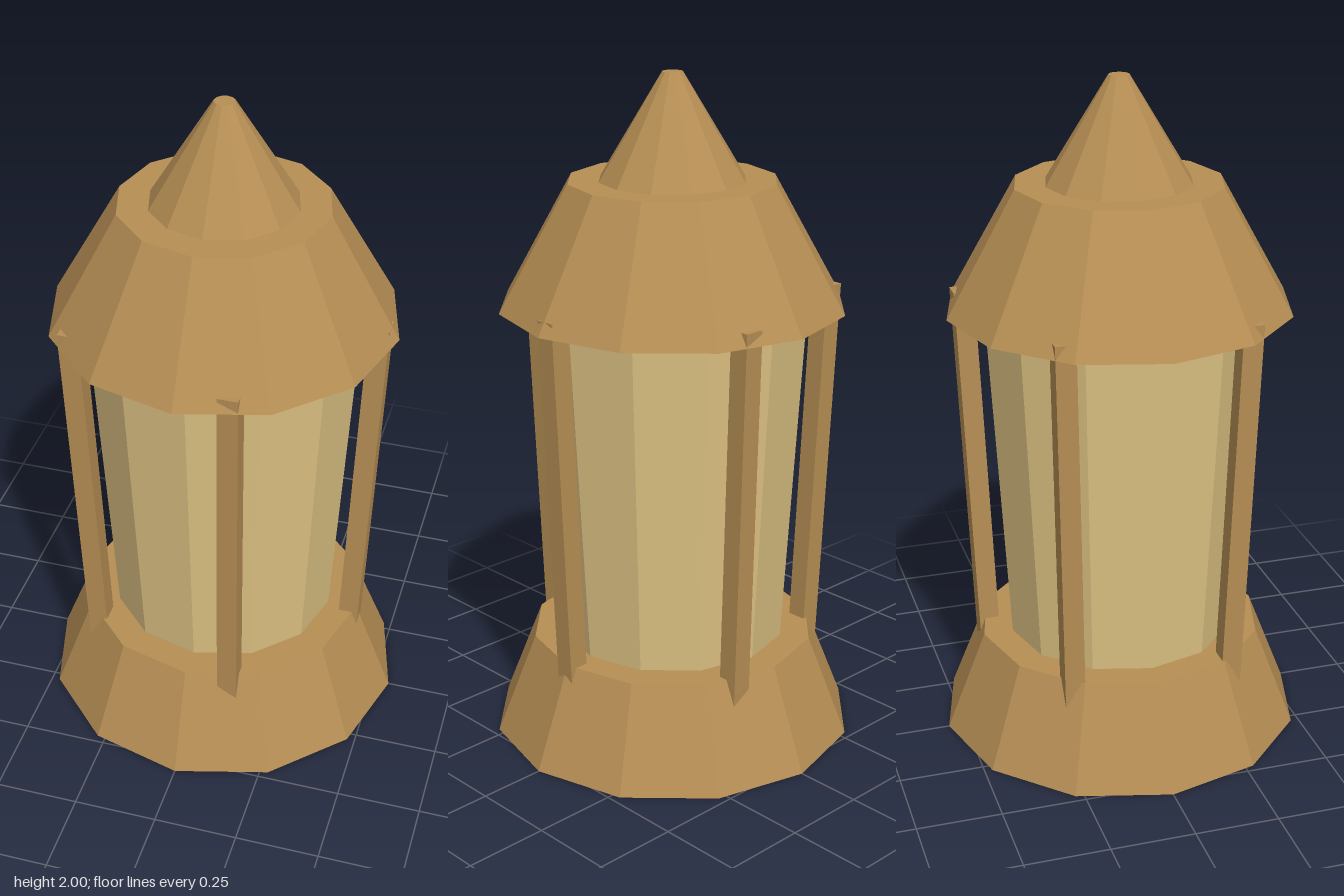
import * as THREE from 'three';

export function createModel() {
  const group = new THREE.Group();
  const wood = new THREE.MeshStandardMaterial({ color: 0xb68e54, flatShading: true });
  wood.name = 'warm brown';
  const pane = new THREE.MeshStandardMaterial({ color: 0xdcc182, flatShading: true });
  pane.name = 'pale glass';

  function add(name, geometry, material) {
    const mesh = new THREE.Mesh(geometry, material);
    mesh.name = name;
    group.add(mesh);
    return mesh;
  }

  // Twelve-sided tapered drum between two heights
  function drum(name, bottomRadius, topRadius, y0, y1, material) {
    const geometry = new THREE.CylinderGeometry(topRadius, bottomRadius, y1 - y0, 12);
    add(name, geometry.translate(0, (y0 + y1) / 2, 0), material);
  }
  drum('base', 0.55, 0.43, 0, 0.305, wood);
  drum('glass', 0.34, 0.4, 0.305, 1.33, pane);
  drum('roof', 0.51, 0.305, 1.33, 1.695, wood);
  drum('spire', 0.215, 0.03, 1.695, 2, wood);

  // Five square posts, all parallel to the axes, leaning outward as they rise
  const y0 = 0.2, y1 = 1.37;
  for (let i = 0; i < 5; i++) {
    const angle = (i / 5) * Math.PI * 2;
    const geometry = new THREE.BoxGeometry(0.06, y1 - y0, 0.06).translate(0, (y0 + y1) / 2, 0);
    const p = geometry.attributes.position;
    for (let v = 0; v < p.count; v++) {
      const radius = 0.41 + 0.0425 * (p.getY(v) - 0.27);
      p.setX(v, p.getX(v) + radius * Math.cos(angle));
      p.setZ(v, p.getZ(v) + radius * Math.sin(angle));
    }
    geometry.computeVertexNormals();
    add('post' + (i + 1), geometry, wood);
  }
  return group;
}
